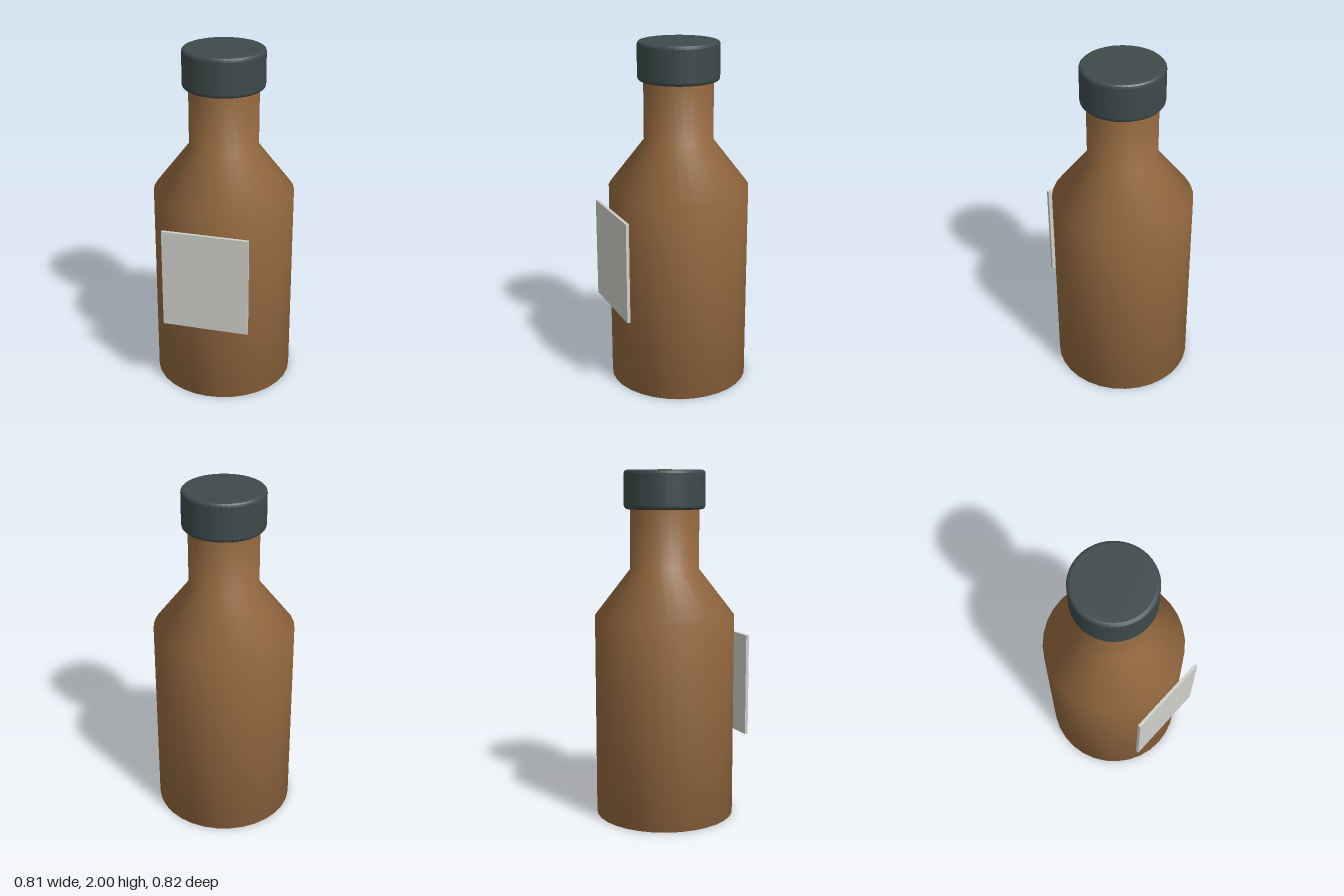
import * as THREE from 'three';

const Z = -0.01; // bottle axis, so that bottle plus label is centred

function material(name, color) {
  const m = new THREE.MeshStandardMaterial({ color });
  m.name = name;
  return m;
}

function addPart(group, name, geometry, mat) {
  const mesh = new THREE.Mesh(geometry, mat);
  mesh.name = name;
  group.add(mesh);
  return mesh;
}

export function createModel() {
  const group = new THREE.Group();
  group.name = 'bottle';
  const brown = material('brownGlass', 0x966a41);
  const dark = material('darkCap', 0x3e4a4a);
  const pale = material('paleLabel', 0xd0d0cb);

  // Body: base, straight wall, sloping shoulder and neck, smoothly shaded
  const profile = [[0, 0], [0.403, 0], [0.403, 1.175], [0.198, 1.44], [0.198, 1.82]]
    .map(([r, y]) => new THREE.Vector2(r, y));
  const body = addPart(group, 'body', new THREE.LatheGeometry(profile, 32), brown);
  body.position.z = Z;

  // Cap: faceted disc with a small rounded bevel on both rims
  const bevel = 0.02, radius = 0.232, bottom = 1.78, height = 0.22;
  const circle = new THREE.Shape();
  circle.absarc(0, 0, radius - bevel, 0, Math.PI * 2);
  const capGeometry = new THREE.ExtrudeGeometry(circle, {
    depth: height - 2 * bevel,
    curveSegments: 24,
    bevelSize: bevel,
    bevelThickness: bevel,
    bevelSegments: 3,
  });
  capGeometry.rotateX(-Math.PI / 2);
  const cap = addPart(group, 'cap', capGeometry, dark);
  cap.position.set(0, bottom + bevel, Z);

  // Label: flat panel touching the front of the body
  const label = addPart(group, 'label', new THREE.BoxGeometry(0.494, 0.585, 0.018), pale);
  label.position.set(0, 0.768, 0.403);

  return group;
}
